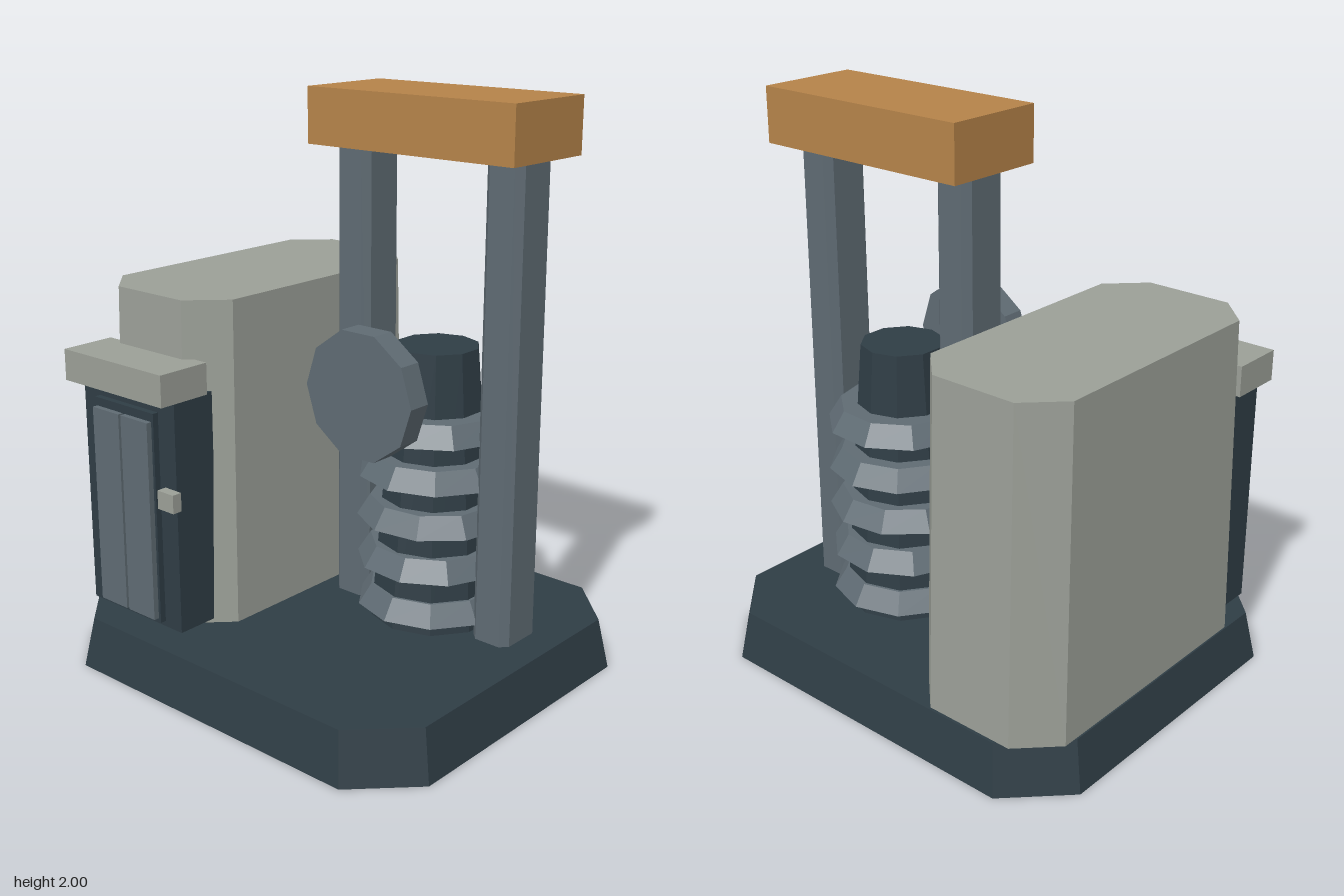
import * as THREE from 'three';

const material = (name, color) => {
  const m = new THREE.MeshStandardMaterial({ color, flatShading: true });
  m.name = name;
  return m;
};

// Upright block with chamfered corners, narrowing towards the top
function taperedBlock(hx, hz, chamfer, height, topScale) {
  const c = chamfer;
  const outline = [
    [hx, hz - c], [hx - c, hz], [-hx + c, hz], [-hx, hz - c],
    [-hx, -hz + c], [-hx + c, -hz], [hx - c, -hz], [hx, -hz + c],
  ].map(([x, y]) => new THREE.Vector2(x, y));
  const geo = new THREE.ExtrudeGeometry(new THREE.Shape(outline), { depth: height, bevelEnabled: false });
  geo.rotateX(-Math.PI / 2);
  const p = geo.attributes.position;
  for (let i = 0; i < p.count; i++) {
    const s = 1 + (topScale - 1) * (p.getY(i) / height);
    p.setX(i, p.getX(i) * s);
    p.setZ(i, p.getZ(i) * s);
  }
  geo.computeVertexNormals();
  return geo;
}

export function createModel() {
  const group = new THREE.Group();
  const dark = material('dark slate', 0x2f3d45);
  const steel = material('steel grey', 0x5f6b73);
  const concrete = material('concrete grey', 0x9b9f97);
  const copper = material('copper orange', 0xb58349);

  const add = (name, geo, mat, x = 0, y = 0, z = 0) => {
    const mesh = new THREE.Mesh(geo, mat);
    mesh.name = name;
    mesh.position.set(x, y, z);
    group.add(mesh);
    return mesh;
  };
  // Box given by its limits on each axis
  const box = (name, mat, [x0, x1], [y0, y1], [z0, z1]) =>
    add(name, new THREE.BoxGeometry(x1 - x0, y1 - y0, z1 - z0), mat, (x0 + x1) / 2, (y0 + y1) / 2, (z0 + z1) / 2);

  // Plinth and control house
  add('base', taperedBlock(0.795, 0.705, 0.195, 0.18, 0.957), dark);
  add('house', taperedBlock(0.29, 0.575, 0.126, 1.15, 0.952), concrete, -0.465, 0.18, -0.09);

  // Entrance
  box('doorFrame', dark, [-0.69, -0.235], [0.195, 1.02], [0.4, 0.57]);
  box('doorPanel', dark, [-0.61, -0.315], [0.215, 0.97], [0.56, 0.592]);
  for (const x of [-0.6, -0.457]) box('doorLeaf', steel, [x, x + 0.132], [0.23, 0.94], [0.585, 0.612]);
  box('canopy', concrete, [-0.705, -0.22], [1.02, 1.13], [0.435, 0.637]);
  box('doorControl', concrete, [-0.265, -0.19], [0.66, 0.725], [0.592, 0.628]);

  // Gantry
  const cx = 0.265, cz = -0.178;
  for (const side of [-1, 1]) {
    add('post', taperedBlock(0.074, 0.095, 0.026, 1.64, 0.965), steel, cx - 0.002 + side * 0.309, 0.175, cz);
  }
  box('crossBeam', copper, [-0.155, 0.68], [1.81, 2], [-0.363, 0.005]);

  // Ribbed insulator column
  add('core', new THREE.CylinderGeometry(0.145, 0.225, 0.98, 10), dark, cx, 0.665, cz);
  for (let i = 0; i < 5; i++) {
    const rib = add('rib', new THREE.CylinderGeometry(0.225, 0.27, 0.072, 10), steel, cx, 0.262 + i * 0.16, cz);
    rib.rotation.y = i * 0.22;
  }

  // Round disc in front of the column, flat edge on top
  const disc = new THREE.CylinderGeometry(0.22, 0.22, 0.084, 10);
  disc.rotateY(Math.PI / 2).rotateX(Math.PI / 2);
  add('disc', disc, steel, cx, 1.066, 0.193);

  return group;
}
